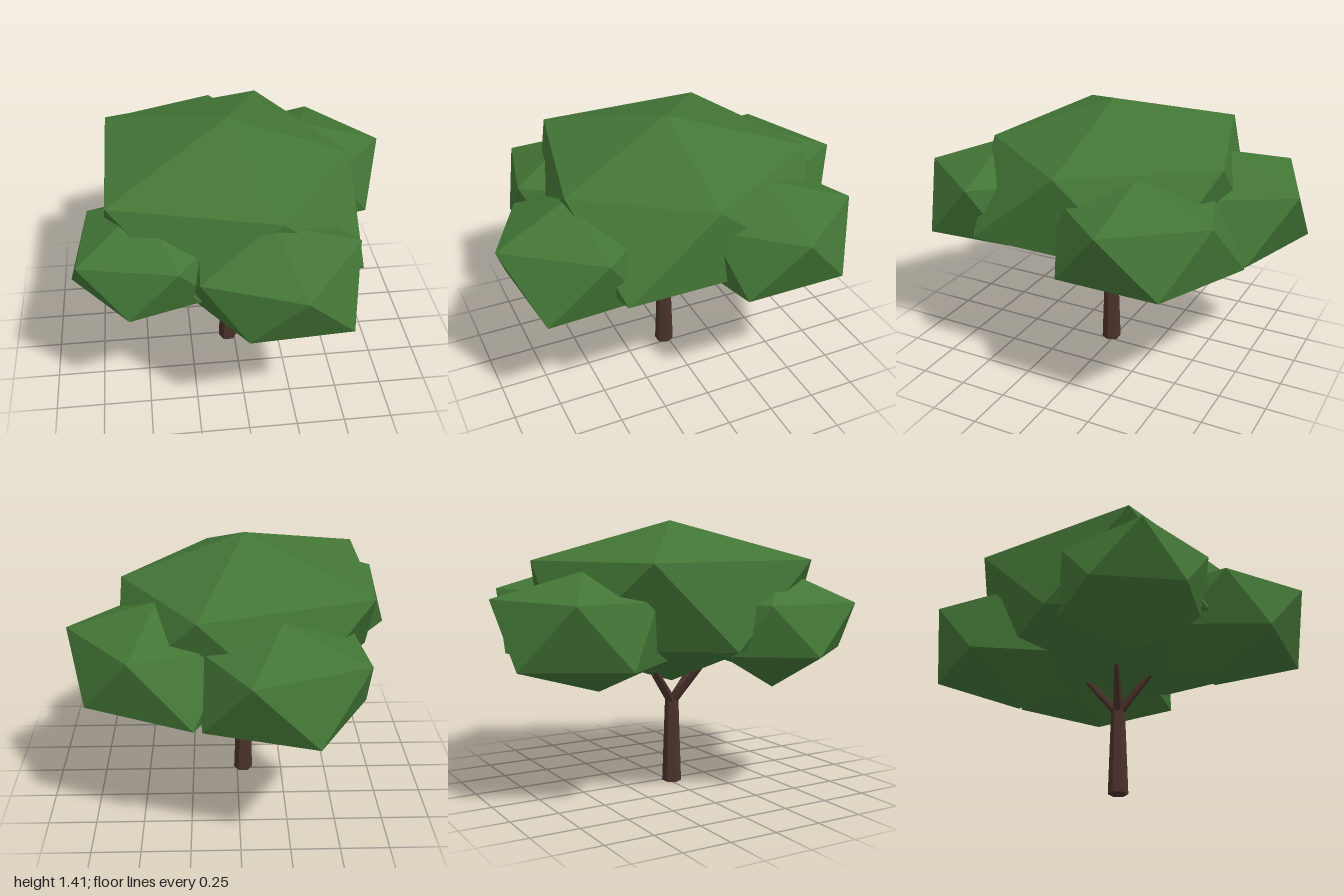
import * as THREE from 'three';

const leaf = new THREE.MeshStandardMaterial({ color: 0x437636, flatShading: true });
leaf.name = 'leaf green';
const bark = new THREE.MeshStandardMaterial({ color: 0x4a322a, flatShading: true });
bark.name = 'bark brown';

// Leaf clump: twenty-sided form from a top point, two staggered rings of five and a bottom point.
// Rings run by rising angle from +x towards +z; entries are [x, z] or [x, z, y].
function clump(name, { top, upperY, upper, lowerY, lower, bottom }) {
  const at = (y) => (p) => [p[0], p[2] ?? y, p[1]];
  const u = upper.map(at(upperY));
  const l = lower.map(at(lowerY));
  const pos = [];
  for (let i = 0; i < 5; i++) {
    const j = (i + 1) % 5;
    pos.push(
      ...top, ...u[j], ...u[i],
      ...u[i], ...u[j], ...l[i],
      ...u[j], ...l[j], ...l[i],
      ...bottom, ...l[i], ...l[j],
    );
  }
  const geo = new THREE.BufferGeometry();
  geo.setAttribute('position', new THREE.Float32BufferAttribute(pos, 3));
  geo.computeVertexNormals();
  const mesh = new THREE.Mesh(geo, leaf);
  mesh.name = name;
  return mesh;
}

// Tapered six-sided limb between two points
function limb(name, a, b, r0, r1) {
  const from = new THREE.Vector3(...a);
  const dir = new THREE.Vector3(...b).sub(from);
  const len = dir.length();
  const geo = new THREE.CylinderGeometry(r1, r0, len, 6);
  geo.rotateY(Math.PI / 6).translate(0, len / 2, 0);
  const mesh = new THREE.Mesh(geo, bark);
  mesh.position.copy(from);
  mesh.quaternion.setFromUnitVectors(new THREE.Vector3(0, 1, 0), dir.normalize());
  mesh.name = name;
  return mesh;
}

export function createModel() {
  const tree = new THREE.Group();
  tree.name = 'tree';

  // Trunk and forking branches
  tree.add(limb('trunk', [-0.035, 0, 0.018], [-0.035, 0.47, 0.018], 0.052, 0.036));
  const tips = [[-0.2, 0.66, 0.11], [0.01, 0.66, 0.21], [0.1, 0.66, -0.07], [-0.12, 0.66, -0.15]];
  tips.forEach((tip, i) => tree.add(limb('branch' + (i + 1), [-0.035, 0.44, 0.018], tip, 0.026, 0.014)));

  // Foliage: a broad crown over four smaller clumps
  const foliage = new THREE.Group();
  foliage.name = 'foliage';
  foliage.add(
    clump('crown', {
      top: [-0.035, 1.415, 0.005],
      upperY: 1.18,
      upper: [[0.6, 0.005], [0.16, 0.62], [-0.65, 0.46, 1.22], [-0.65, -0.44, 1.22], [0.2, -0.69, 1.21]],
      lowerY: 0.79,
      lower: [[0.6, 0.48], [-0.24, 0.66], [-0.69, 0], [-0.23, -0.7], [0.6, -0.48]],
      bottom: [-0.03, 0.555, 0.02],
    }),
    clump('frontLeftClump', {
      top: [0.12, 1.16, 0.58],
      upperY: 1.01,
      upper: [[0.555, 0.545], [0.22, 0.99], [-0.24, 0.77, 0.98], [-0.21, 0.33], [0.25, 0.17]],
      lowerY: 0.72,
      lower: [[0.48, 0.84, 0.7], [-0.025, 0.9, 0.73], [-0.28, 0.52], [0.03, 0.16], [0.48, 0.35]],
      bottom: [0.07, 0.58, 0.55],
    }),
    clump('frontRightClump', {
      top: [-0.48, 1.18, 0.37],
      upperY: 1.01,
      upper: [[-0.08, 0.37], [-0.33, 0.72], [-0.8, 0.62], [-0.755, 0.145], [-0.35, 0.01]],
      lowerY: 0.757,
      lower: [[-0.15, 0.59], [-0.57, 0.72], [-0.85, 0.365], [-0.6, 0.02], [-0.16, 0.14]],
      bottom: [-0.455, 0.555, 0.377],
    }),
    clump('backLeftClump', {
      top: [0.4, 1.18, -0.34],
      upperY: 1.05,
      upper: [[0.845, -0.34], [0.53, 0.02], [0.05, -0.12], [0.05, -0.6], [0.515, -0.767]],
      lowerY: 0.75,
      lower: [[0.745, -0.08], [0.27, 0.04], [-0.02, -0.36], [0.22, -0.83, 0.735], [0.745, -0.61]],
      bottom: [0.38, 0.585, -0.33],
    }),
    clump('backRightClump', {
      top: [-0.2, 1.17, -0.58],
      upperY: 1.04,
      upper: [[0.22, -0.56], [-0.1, -0.17], [-0.55, -0.36], [-0.59, -0.795], [-0.04, -1]],
      lowerY: 0.725,
      lower: [[0.13, -0.31], [-0.35, -0.18], [-0.62, -0.52], [-0.35, -0.985], [0.18, -0.82]],
      bottom: [-0.2, 0.57, -0.5],
    }),
  );
  tree.add(foliage);
  return tree;
}
